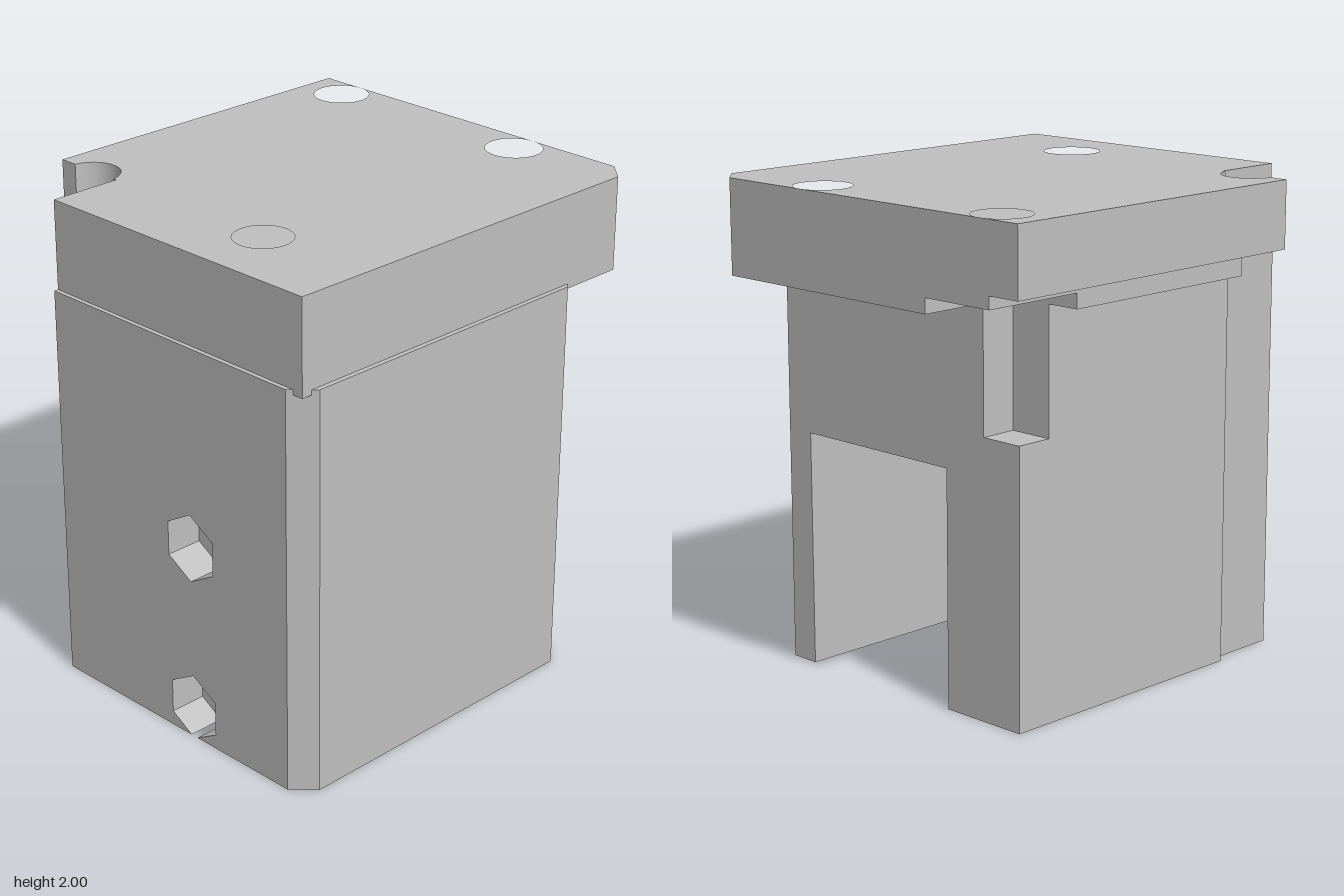
import * as THREE from 'three';
import { toCreasedNormals } from 'three/addons/utils/BufferGeometryUtils.js';

// points on an arc, angles in degrees
function arc(cx, cy, r, from, to, n) {
  return Array.from({ length: n + 1 }, (_, i) => {
    const a = THREE.MathUtils.degToRad(from + (to - from) * i / n);
    return [cx + r * Math.cos(a), cy + r * Math.sin(a)];
  });
}
const circle = (cx, cy, r, n = 40) => arc(cx, cy, r, 0, 360, n).slice(0, n);
const hexagon = (cx, cy, r) => arc(cx, cy, r, 90, 450, 6).slice(0, 6);
const vectors = (points) => points.map(([x, y]) => new THREE.Vector2(x, y));

function extrude(outline, holes, depth) {
  const shape = new THREE.Shape(vectors(outline));
  shape.holes = holes.map((h) => new THREE.Path(vectors(h)));
  return new THREE.ExtrudeGeometry(shape, { depth, bevelEnabled: false });
}

export function createModel() {
  const model = new THREE.Group();
  model.name = 'mountingBracket';
  const grey = new THREE.MeshStandardMaterial({ color: 0xbfbfbf });
  grey.name = 'grey';

  function add(name, geometry) {
    const mesh = new THREE.Mesh(toCreasedNormals(geometry, 0.5), grey);
    mesh.name = name;
    model.add(mesh);
  }
  // slab with an outline in x and z, between two heights
  function slab(name, outline, y0, y1, holes = []) {
    const flip = (points) => points.map(([x, z]) => [x, -z]);
    const g = extrude(flip(outline), holes.map(flip), y1 - y0);
    add(name, g.rotateX(-Math.PI / 2).translate(0, y0, 0));
  }
  // panel with an outline in x and y, between two depths
  function panel(name, outline, z0, z1, holes) {
    add(name, extrude(outline, holes, z1 - z0).translate(0, 0, z0));
  }

  // screw holes in the top plate
  const R = 0.114;
  const backHole = circle(0.31, -0.775, R);
  const frontHole = circle(0.31, 0.58, R);
  const cornerHole = circle(-0.64, -0.775, R);

  // top plate, with the open half hole at its stepped corner
  const plateEdge = [[0.72, -0.89], [0.805, -0.81], [0.805, 0.87], [-0.51, 0.87], [-0.51, 0.565]];
  slab('topPlate', [
    [-0.83, -0.89], ...plateEdge,
    ...arc(-0.64, 0.58, R, -7.5, -172.5, 24), [-0.83, 0.565],
  ], 1.73, 2, [backHole, frontHole, cornerHole]);
  slab('topPlateUnderside', [
    [-0.365, -0.89], ...plateEdge,
    ...arc(-0.64, 0.58, R, -7.5, -116, 18), [-0.69, -0.445], [-0.365, -0.445],
  ], 1.62, 1.73, [backHole, frontHole]);
  slab('recessWeb', [[-0.69, -0.89], [-0.365, -0.89], [-0.365, -0.445], [-0.69, -0.445]], 1.68, 1.73);

  // side walls around the pocket, open at the back and below
  slab('leftWall', [
    [0.615, -0.6], [0.74, -0.6], [0.825, -0.515], [0.825, 0.805],
    [0.74, 0.888], [0.74, 0.62], [0.615, 0.62],
  ], 0, 0.96);
  slab('rightWall', [
    [-0.165, -0.6], [-0.165, 0.62], [-0.51, 0.62], [-0.51, 0.565], [-0.55, 0.565], [-0.55, -0.6],
  ], 0, 0.96);

  // solid block above the pocket, with a notch in its back corner
  const blockSide = [[0.74, -0.6], [0.825, -0.515], [0.825, 0.805], [0.74, 0.888]];
  const blockFront = [[0.74, 0.62], [-0.51, 0.62], [-0.51, 0.565], [-0.55, 0.565]];
  const notch = [[-0.55, -0.445], [-0.365, -0.445], [-0.365, -0.6]];
  slab('blockLower', [...blockSide, ...blockFront, [-0.55, -0.6]], 0.96, 1.115);
  slab('blockUpper', [...blockSide, ...blockFront, ...notch], 1.115, 1.6);
  slab('blockRim', [
    ...blockSide, [-0.51, 0.888], [-0.51, 0.565],
    ...arc(-0.64, 0.58, R, -7.5, -37.9, 6), ...notch,
  ], 1.6, 1.64, [frontHole]);

  // front wall: bolt holes behind hexagonal nut seats, the lower one breaking the bottom edge
  const boltX = 0.225;
  panel('frontWallInner', [[-0.51, 0], [0.74, 0], [0.74, 1.6], [-0.51, 1.6]], 0.62, 0.735,
    [circle(boltX, 0.13, 0.075), circle(boltX, 0.82, 0.075)]);
  const [top, upLeft, lowLeft, , lowRight, upRight] = hexagon(boltX, 0.13, 0.14);
  panel('frontWallOuter', [
    [-0.51, 0], [boltX - 0.017, 0], lowLeft, upLeft, top, upRight, lowRight, [boltX + 0.017, 0],
    [0.74, 0], [0.74, 1.6], [-0.51, 1.6],
  ], 0.735, 0.888, [hexagon(boltX, 0.82, 0.14)]);

  return model;
}
